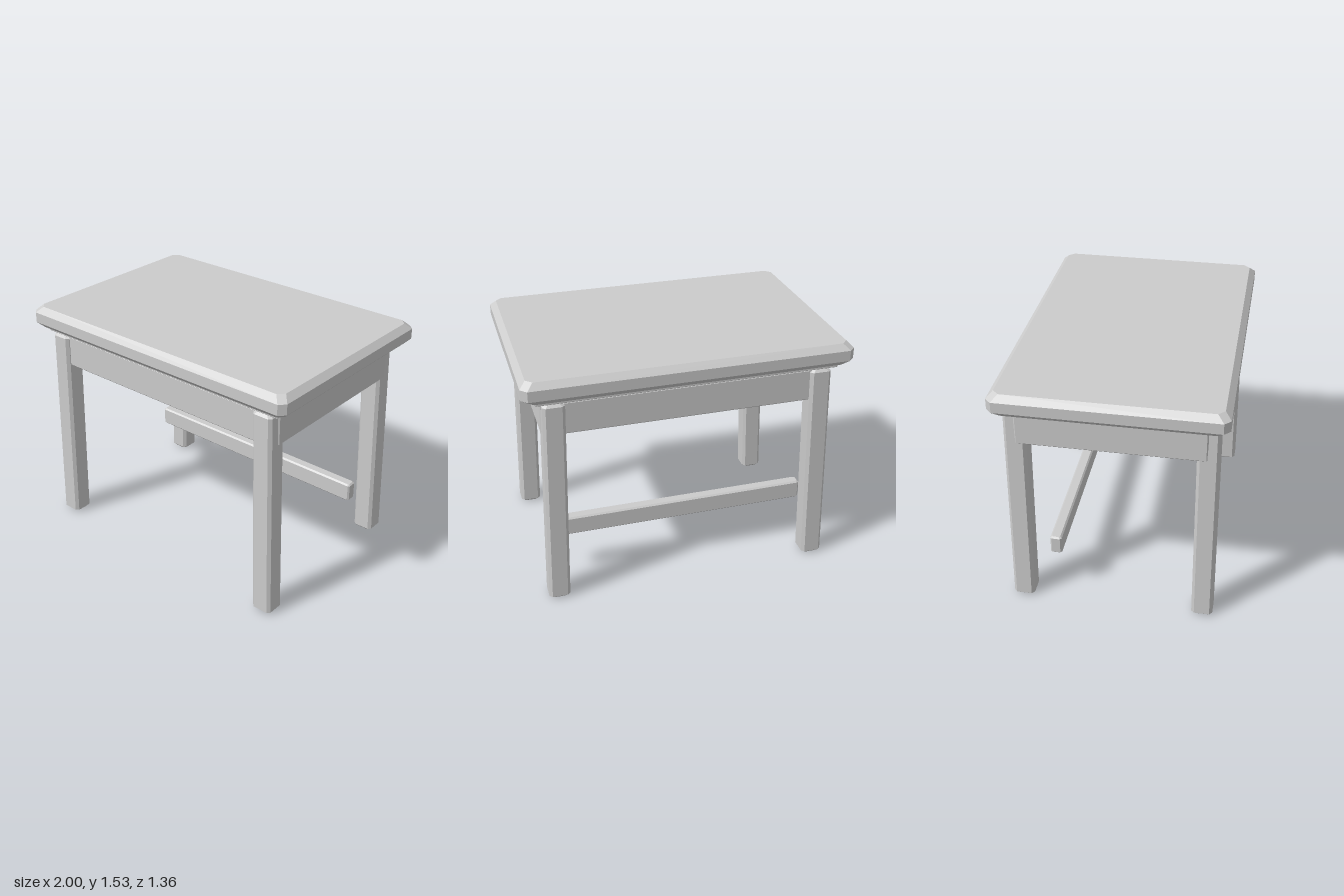
import * as THREE from 'three';
import { ConvexGeometry } from 'three/addons/geometries/ConvexGeometry.js';

// Box with every edge chamfered by c; its top is shifted by (leanX, leanZ).
function chamferBox(w, h, d, c, leanX = 0, leanZ = 0) {
  const points = [];
  for (const [y, inset] of [[0, c], [c, 0], [h - c, 0], [h, c]]) {
    const x = w / 2 - inset, z = d / 2 - inset, t = y / h;
    for (const sx of [-1, 1]) for (const sz of [-1, 1]) {
      points.push(
        new THREE.Vector3(sx * x + leanX * t, y, sz * (z - c) + leanZ * t),
        new THREE.Vector3(sx * (x - c) + leanX * t, y, sz * z + leanZ * t));
    }
  }
  return new ConvexGeometry(points);
}

export function createModel() {
  const group = new THREE.Group();
  const grey = new THREE.MeshStandardMaterial({ color: 0xcccccc });
  grey.name = 'light grey';

  const add = (name, geometry, x, y, z) => {
    const mesh = new THREE.Mesh(geometry, grey);
    mesh.name = name;
    mesh.position.set(x, y, z);
    group.add(mesh);
  };

  // Thick top over a thin plate, with a narrow shadow gap between
  add('tableTop', chamferBox(2, 0.14, 1.355, 0.037), 0, 1.387, 0);
  add('topPlate', chamferBox(1.84, 0.018, 1.23, 0.004), 0, 1.36, 0);

  // Splayed legs
  for (const sx of [-1, 1]) for (const sz of [-1, 1]) {
    const name = (sz > 0 ? 'front' : 'back') + (sx > 0 ? 'Left' : 'Right') + 'Leg';
    add(name, chamferBox(0.133, 1.36, 0.131, 0.018, -sx * 0.037, -sz * 0.01), sx * 0.85, 0, sz * 0.566);
  }

  // Aprons: the side pair overlaps the outside of the legs
  for (const s of [-1, 1]) {
    add(s > 0 ? 'leftApron' : 'rightApron', chamferBox(0.06, 0.205, 1.11, 0.008), s * 0.86, 1.153, 0);
    add(s > 0 ? 'frontApron' : 'backApron', chamferBox(1.66, 0.205, 0.06, 0.008), 0, 1.153, s * 0.57);
  }

  // Long foot rail set in from the back legs
  add('footRail', chamferBox(1.66, 0.125, 0.072, 0.01), 0, 0.302, -0.364);

  return group;
}
